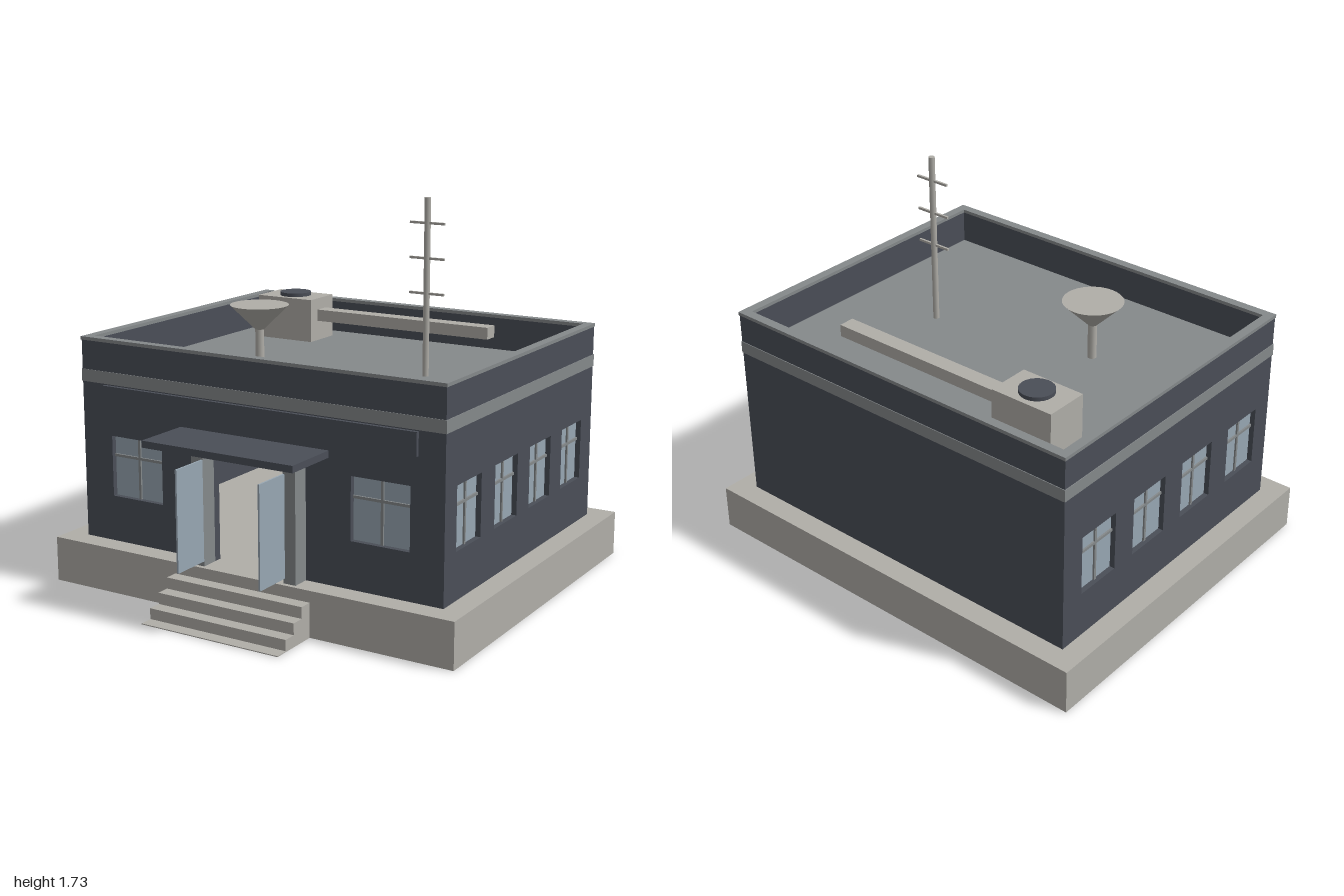
import * as THREE from 'three';

const mat = (name, color) => new THREE.MeshStandardMaterial({ name, color });

export function createModel() {
  const concrete = mat('pale concrete', 0xb0aea8);
  const wall = mat('dark slate', 0x4a4e57);
  const trim = mat('grey trim', 0x85898b);
  const glass = mat('blue glass', 0x98a7b3);
  const root = new THREE.Group();
  root.name = 'building';

  const add = (name, geo, material, parent = root) => {
    const mesh = new THREE.Mesh(geo, material);
    mesh.name = name;
    parent.add(mesh);
    return mesh;
  };
  // box given by its limits on each axis
  const box = (name, m, x0, x1, y0, y1, z0, z1, parent) => {
    const b = add(name, new THREE.BoxGeometry(x1 - x0, y1 - y0, z1 - z0), m, parent);
    b.position.set((x0 + x1) / 2, (y0 + y1) / 2, (z0 + z1) / 2);
    return b;
  };
  const cyl = (name, m, rTop, rBottom, x, y0, y1, z, sides = 24) => {
    const c = add(name, new THREE.CylinderGeometry(rTop, rBottom, y1 - y0, sides), m);
    c.position.set(x, (y0 + y1) / 2, z);
    return c;
  };
  const rectPath = (x0, x1, y0, y1) => new THREE.Path([
    [x0, y0], [x0, y1], [x1, y1], [x1, y0]].map(p => new THREE.Vector2(...p)).concat(new THREE.Vector2(x0, y0)));

  const X = 0.9, ZF = 0.61, ZB = -0.85, T = 0.037, FLOOR = 0.203, TOP = 1.1;
  const ZC = (ZF + ZB) / 2, ZH = (ZF - ZB) / 2;

  // plinth and front steps
  box('plinth', concrete, -1, 1, 0, FLOOR, -0.95, 0.71);
  [0.152, 0.102, 0.052, 0.004].forEach((h, i) =>
    box('step', concrete, -0.34, 0.34, 0, h, 0.71 + i * 0.06, 0.77 + i * 0.06));

  // wall panel in its own frame: outer face at local z = 0, windows set into holes
  const wallPanel = (name, half, windows, winW, door) => {
    const g = new THREE.Group();
    g.name = name;
    const pts = [[-half, FLOOR]];
    if (door) pts.push([-0.2, FLOOR], [-0.2, 0.68], [0.2, 0.68], [0.2, FLOOR]);
    pts.push([half, FLOOR], [half, TOP], [-half, TOP]);
    const shape = new THREE.Shape(pts.map(p => new THREE.Vector2(...p)));
    const y0 = 0.41, y1 = 0.684, bar = 0.006;
    for (const c of windows) {
      const a = c - winW / 2, b = c + winW / 2;
      shape.holes.push(rectPath(a, b, y0, y1));
      const w = new THREE.Group();
      w.name = 'window';
      g.add(w);
      box('pane', glass, a, b, y0, y1, -0.03, -0.024, w);
      box('uprightBar', trim, c - bar, c + bar, y0, y1, -0.024, -0.016, w);
      box('crossBar', trim, a, b, 0.594 - bar, 0.594 + bar, -0.024, -0.016, w);
    }
    const geo = new THREE.ExtrudeGeometry(shape, { depth: T, bevelEnabled: false });
    geo.translate(0, 0, -T);
    add('wallFace', geo, wall, g);
    root.add(g);
    return g;
  };

  wallPanel('frontWall', X, [-0.61, 0.61], 0.272, true).position.z = ZF;
  const back = wallPanel('backWall', X, [], 0, false);
  back.position.z = ZB;
  back.rotation.y = Math.PI;
  const sideZ = [0.4, 0.055, -0.285, -0.625];
  for (const s of [1, -1]) {
    const side = wallPanel(s > 0 ? 'leftWall' : 'rightWall', ZH - T, sideZ.map(z => -s * (z - ZC)), 0.218, false);
    side.position.set(s * X, 0, ZC);
    side.rotation.y = s * Math.PI / 2;
  }

  // rectangular ring running round the walls
  const ring = (name, m, out, inset, y0, y1) => {
    const hx = X + out, hz = ZH + out;
    const s = new THREE.Shape([[-hx, -hz], [hx, -hz], [hx, hz], [-hx, hz]].map(p => new THREE.Vector2(...p)));
    s.holes.push(rectPath(-X + inset, X - inset, -ZH + inset, ZH - inset));
    const geo = new THREE.ExtrudeGeometry(s, { depth: y1 - y0, bevelEnabled: false });
    geo.rotateX(-Math.PI / 2);
    add(name, geo, m).position.set(0, y0, ZC);
  };
  ring('wallBand', trim, 0.003, 0.02, 0.915, 0.97);
  ring('parapetCoping', trim, 0.003, T + 0.002, TOP, 1.115);
  box('roofDeck', trim, -X + T, X - T, 0.925, 0.95, ZB + T, ZF - T);

  // entrance: fascia, portal, canopy and open glass doors
  box('fasciaPanel', wall, -0.78, 0.78, 0.81, 0.91, ZF, 0.627);
  box('canopy', wall, -0.37, 0.37, 0.745, 0.775, ZF, 0.88);
  box('portalHeader', trim, -0.26, 0.26, 0.68, 0.745, ZF, 0.69);
  for (const s of [-1, 1]) {
    box('portalPost', trim, s * 0.23 - 0.03, s * 0.23 + 0.03, FLOOR, 0.68, ZF, 0.69);
    box('doorLeaf', glass, s * 0.204 - 0.004, s * 0.204 + 0.004, 0.225, 0.672, 0.69, 0.872);
  }

  // ventilation unit and duct
  box('ventUnit', concrete, -0.71, -0.41, 0.95, 1.155, -0.7, -0.5);
  cyl('ventFan', wall, 0.075, 0.075, -0.56, 1.155, 1.172, -0.6);
  box('duct', concrete, -0.41, 0.5, 1.045, 1.1, -0.635, -0.562);

  // dish on a post
  cyl('dishPost', concrete, 0.02, 0.02, -0.34, 0.95, 1.12, 0.045, 12);
  cyl('dish', concrete, 0.133, 0.02, -0.34, 1.11, 1.222, 0.045, 32);

  // antenna mast
  cyl('mast', concrete, 0.014, 0.014, 0.42, 0.95, 1.73, -0.118, 10);
  for (const y of [1.315, 1.468, 1.62])
    box('mastCrossbar', concrete, 0.336, 0.504, y - 0.005, y + 0.005, -0.123, -0.113);

  return root;
}
